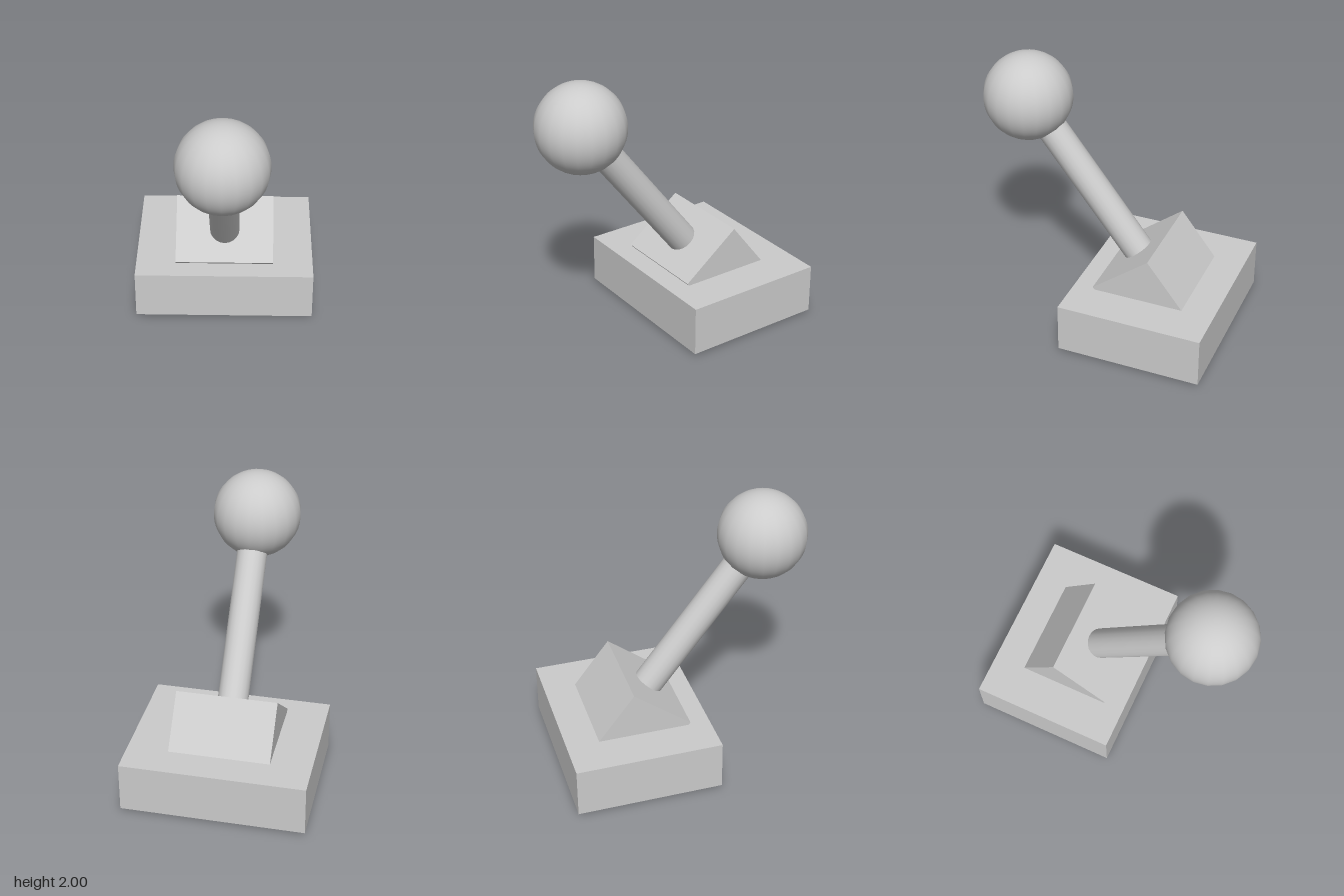
import * as THREE from 'three';

const TILT = 0.66; // forward lean of the lever, radians
const PIVOT = new THREE.Vector3(0, 0.37, -0.39);
const REACH = 1.655; // pivot to knob centre

export function createModel() {
  const model = new THREE.Group();
  const material = new THREE.MeshStandardMaterial({ color: 0xcccccc });

  const add = (name, geometry, parent = model) => {
    const mesh = new THREE.Mesh(geometry, material);
    mesh.name = name;
    parent.add(mesh);
    return mesh;
  };

  // flat base plate
  add('base', new THREE.BoxGeometry(1.33, 0.37, 1.07)).position.set(0, 0.21, -0.41);

  // leaning lever: pivot block sunk in the base, with the shaft rising from it
  const lever = new THREE.Group();
  lever.name = 'lever';
  lever.position.copy(PIVOT);
  lever.rotation.x = TILT;
  model.add(lever);
  add('pivotBlock', new THREE.BoxGeometry(0.735, 0.52, 0.53), lever);
  add('shaft', new THREE.CylinderGeometry(0.112, 0.112, REACH, 20), lever).position.y = REACH / 2;

  // round knob, kept upright at the end of the shaft
  const knob = add('knob', new THREE.SphereGeometry(0.323, 20, 32));
  knob.position.set(0, Math.cos(TILT), Math.sin(TILT)).multiplyScalar(REACH).add(PIVOT);

  return model;
}
